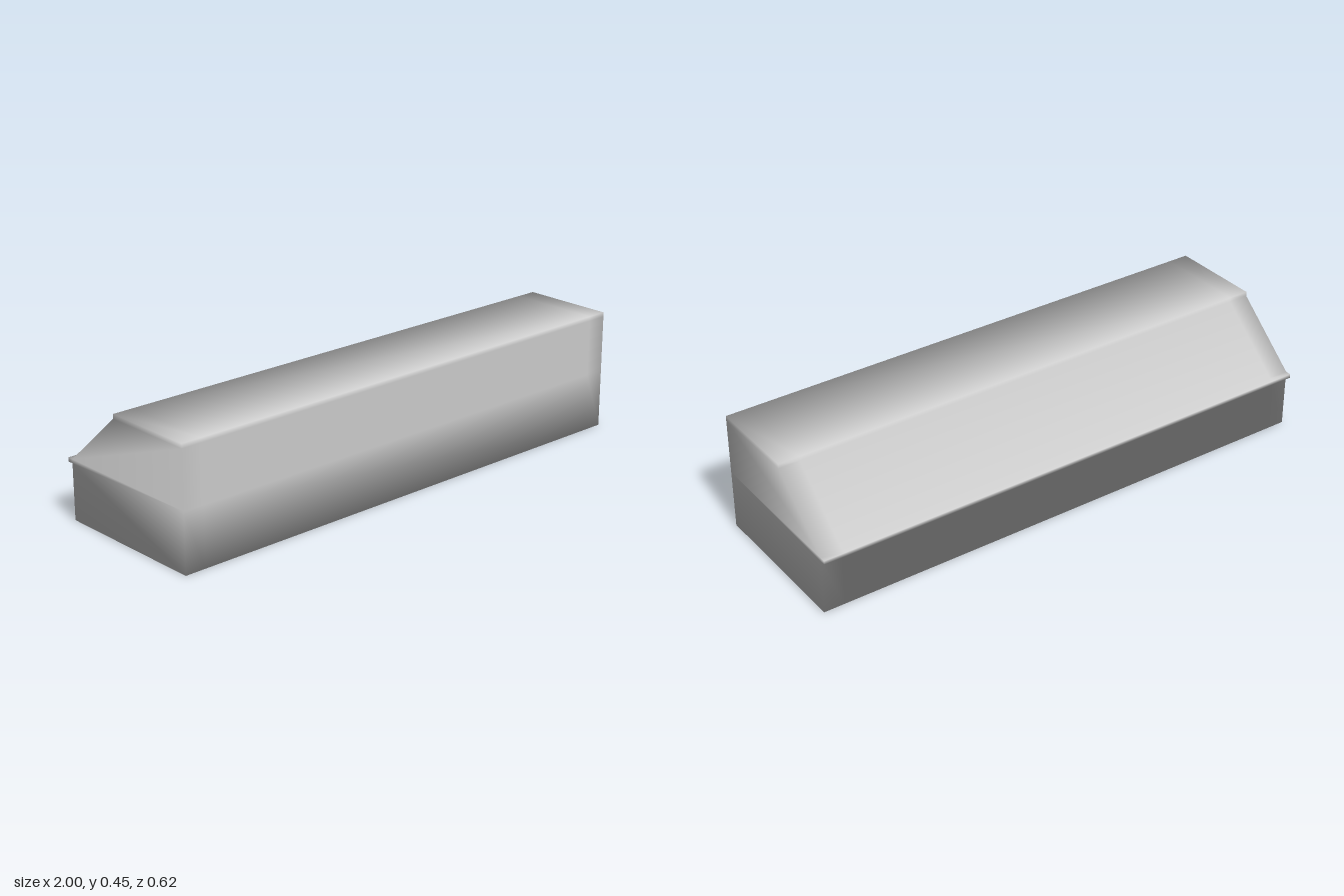
import * as THREE from 'three';

// Side profile as [z, y], from the bottom front edge round the back and over the lid
const PROFILE = [
  [0.3125, 0], [-0.29, 0], [-0.29, 0.207],                      // base and back wall
  [-0.3125, 0.207], [-0.3125, 0.222], [-0.29, 0.222],           // projecting rear lip
  [-0.045, 0.433], [-0.045, 0.45],                              // sloped back and top step
  [0.3125, 0.45], [0.3125, 0.433], [0.3125, 0.222],             // top and front wall
];
// Triangles filling the profile at each end
const CAP = [
  [0, 1, 2], [0, 2, 10], [2, 3, 4], [2, 4, 5], [10, 2, 5],
  [10, 5, 9], [9, 5, 6], [9, 6, 7], [9, 7, 8],
];
// Section positions; the narrow end bays hold the soft shading near the ends
const STATIONS = [-1, -0.92, 0.92, 1];

// Smooth normals weighted by corner angle, so thin strips still round their edges
function smoothByAngle(geometry) {
  const pos = geometry.attributes.position;
  const index = geometry.index.array;
  const normals = Array.from({ length: pos.count }, () => new THREE.Vector3());
  const point = (i) => new THREE.Vector3().fromBufferAttribute(pos, i);
  for (let t = 0; t < index.length; t += 3) {
    const ids = [index[t], index[t + 1], index[t + 2]];
    const p = ids.map(point);
    const face = new THREE.Triangle(...p).getNormal(new THREE.Vector3());
    ids.forEach((id, k) => {
      const a = p[(k + 1) % 3].clone().sub(p[k]);
      const b = p[(k + 2) % 3].clone().sub(p[k]);
      normals[id].addScaledVector(face, a.angleTo(b));
    });
  }
  const flat = normals.flatMap((n) => n.normalize().toArray());
  geometry.setAttribute('normal', new THREE.Float32BufferAttribute(flat, 3));
}

function caseGeometry() {
  const n = PROFILE.length;
  const last = (STATIONS.length - 1) * n;
  const positions = [];
  const index = [];
  for (const x of STATIONS) for (const [z, y] of PROFILE) positions.push(x, y, z);

  // Skin between neighbouring sections
  for (let s = 0; s < STATIONS.length - 1; s++) {
    for (let i = 0; i < n; i++) {
      const j = (i + 1) % n;
      const a = s * n + i, b = s * n + j, c = b + n, d = a + n;
      index.push(a, b, c, a, c, d);
    }
  }
  // End walls, mirrored
  for (const [a, b, c] of CAP) {
    index.push(last + a, last + b, last + c);
    index.push(a, c, b);
  }

  const geometry = new THREE.BufferGeometry();
  geometry.setAttribute('position', new THREE.Float32BufferAttribute(positions, 3));
  geometry.setIndex(index);
  smoothByAngle(geometry);
  return geometry;
}

export function createModel() {
  const group = new THREE.Group();
  group.name = 'slopedCase';

  const paleGrey = new THREE.MeshStandardMaterial({ color: 0xcccccc });
  paleGrey.name = 'paleGrey';

  // Long case with a sloped back and projecting lip
  const body = new THREE.Mesh(caseGeometry(), paleGrey);
  body.name = 'caseBody';
  group.add(body);
  return group;
}
